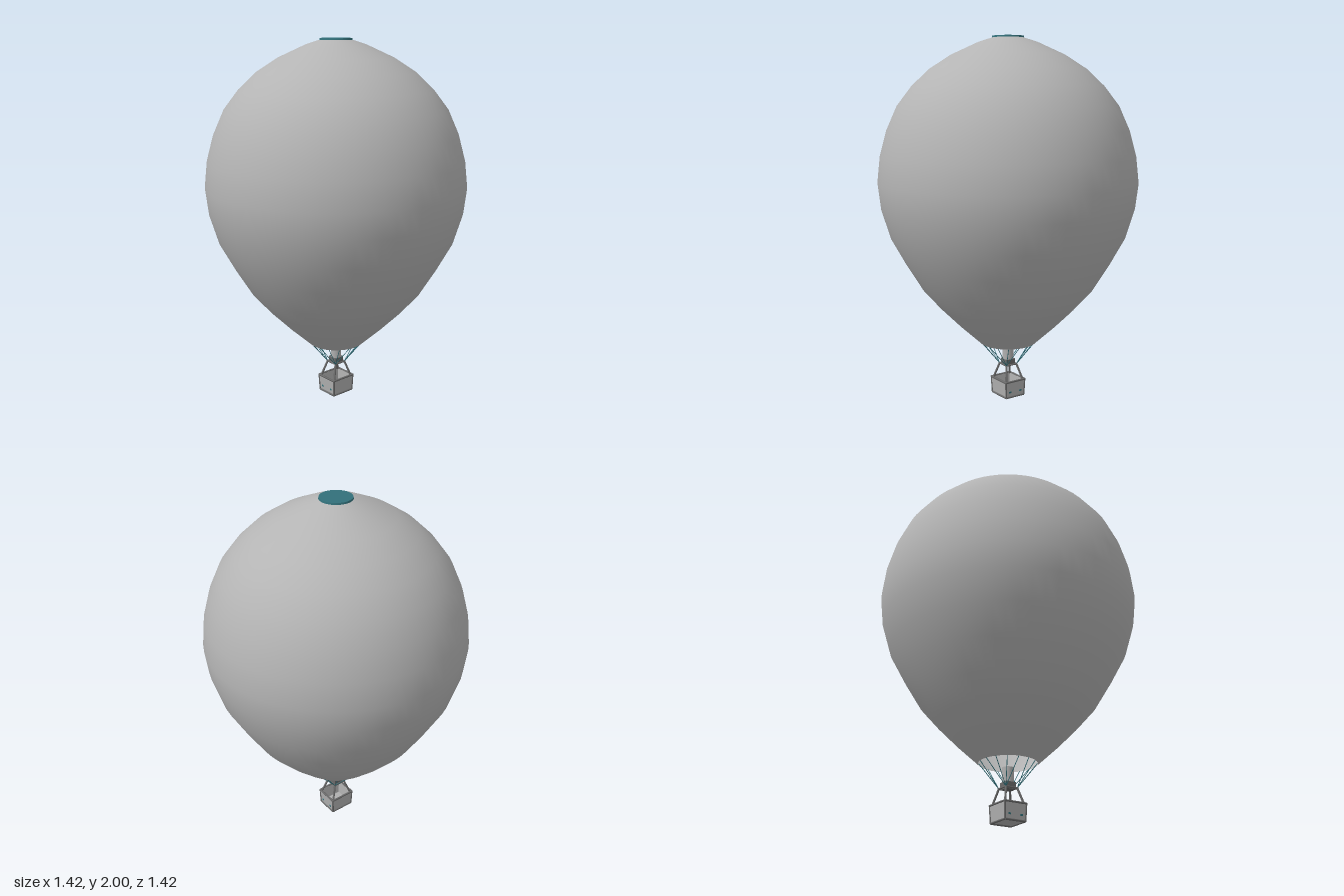
import * as THREE from 'three';

export function createModel() {
  const model = new THREE.Group();
  const mat = (name, color, side = THREE.FrontSide) => {
    const m = new THREE.MeshStandardMaterial({ color, side });
    m.name = name;
    return m;
  };
  const fabric = mat('grey fabric', 0xb4b4b4, THREE.DoubleSide);
  const teal = mat('teal', 0x32707a);
  const metal = mat('dark metal', 0x6a6a6a);
  const wicker = mat('basket grey', 0xb0b0b0);

  const add = (name, geometry, material, x = 0, y = 0, z = 0, parent = model) => {
    const mesh = new THREE.Mesh(geometry, material);
    mesh.name = name;
    mesh.position.set(x, y, z);
    parent.add(mesh);
    return mesh;
  };
  // Thin round bar between two points
  const bar = (name, a, b, radius, material, sides = 6) => {
    const from = new THREE.Vector3(...a), to = new THREE.Vector3(...b);
    const dir = to.clone().sub(from);
    const mesh = add(name, new THREE.CylinderGeometry(radius, radius, dir.length(), sides), material);
    mesh.position.copy(from).add(to).multiplyScalar(0.5);
    mesh.quaternion.setFromUnitVectors(new THREE.Vector3(0, 1, 0), dir.normalize());
    return mesh;
  };

  // Envelope, open at the mouth
  const profile = [
    [0.155, 0.31], [0.275, 0.42], [0.38, 0.525], [0.476, 0.633], [0.566, 0.78],
    [0.645, 0.924], [0.693, 1.083], [0.709, 1.22], [0.693, 1.364], [0.656, 1.5],
    [0.598, 1.63], [0.518, 1.735], [0.423, 1.825], [0.307, 1.9], [0.159, 1.968], [0.083, 1.992],
  ].map(([r, y]) => new THREE.Vector2(r, y));
  add('envelope', new THREE.LatheGeometry(profile, 64), fabric);

  // Crown vent
  add('crownVent', new THREE.CylinderGeometry(0.085, 0.087, 0.009, 48), teal, 0, 1.9955, 0);

  // Basket: tapered open box made from four loops (outer and inner, bottom and top)
  const loop = (x, y, z) => [[-x, y, z], [x, y, z], [x, y, -z], [-x, y, -z]];
  const loops = [loop(0.06, 0.008, 0.068), loop(0.066, 0.095, 0.074),
    loop(0.058, 0.095, 0.066), loop(0.052, 0.016, 0.06)];
  const pos = [];
  const quad = (a, b, c, d) => pos.push(...a, ...b, ...c, ...a, ...c, ...d);
  for (let k = 0; k < 3; k++) {
    for (let i = 0; i < 4; i++) {
      const j = (i + 1) % 4;
      quad(loops[k][i], loops[k][j], loops[k + 1][j], loops[k + 1][i]);
    }
  }
  quad(...loops[3]);
  quad(...loops[0].slice().reverse());
  const basket = new THREE.BufferGeometry();
  basket.setAttribute('position', new THREE.Float32BufferAttribute(pos, 3));
  basket.computeVertexNormals();
  add('basket', basket, wicker);

  // Padded rim, base skids and corner posts
  const top = loop(0.064, 0.096, 0.072), base = loop(0.06, 0.006, 0.068);
  for (let i = 0; i < 4; i++) {
    const j = (i + 1) % 4;
    bar('basketRim', top[i], top[j], 0.006, metal, 8);
    bar('basketBaseRail', base[i], base[j], 0.006, metal, 8);
    bar('basketCorner', base[i], top[i], 0.005, metal, 8);
    add('rimCorner', new THREE.SphereGeometry(0.006, 8, 6), metal, ...top[i]);
  }

  // Toe holes on front and back
  for (const x of [-0.035, 0.035]) {
    for (const s of [-1, 1]) {
      add('toeHole', new THREE.BoxGeometry(0.014, 0.009, 0.004), teal, x, 0.035, s * 0.0698);
    }
  }

  // Uprights and burner frame
  const frame = loop(0.034, 0.18, 0.034);
  const feet = loop(0.056, 0.095, 0.062);
  for (let i = 0; i < 4; i++) {
    bar('upright', feet[i], frame[i], 0.006, metal, 8);
    bar('burnerFrame', frame[i], frame[(i + 1) % 4], 0.005, metal, 8);
  }

  // Burner block and can
  add('burnerBase', new THREE.BoxGeometry(0.058, 0.038, 0.058), metal, 0, 0.192, 0);
  add('burnerCan', new THREE.CylinderGeometry(0.03, 0.03, 0.078, 20), wicker, 0, 0.25, 0);

  // Suspension cables fan out from the frame corners to the mouth
  for (let i = 0; i < 16; i++) {
    const a = (i + 0.5) / 16 * Math.PI * 2;
    const x = Math.cos(a), z = Math.sin(a);
    bar('cable', [Math.sign(x) * 0.034, 0.18, Math.sign(z) * 0.034],
      [x * 0.152, 0.312, z * 0.152], 0.002, teal, 5);
  }
  return model;
}
